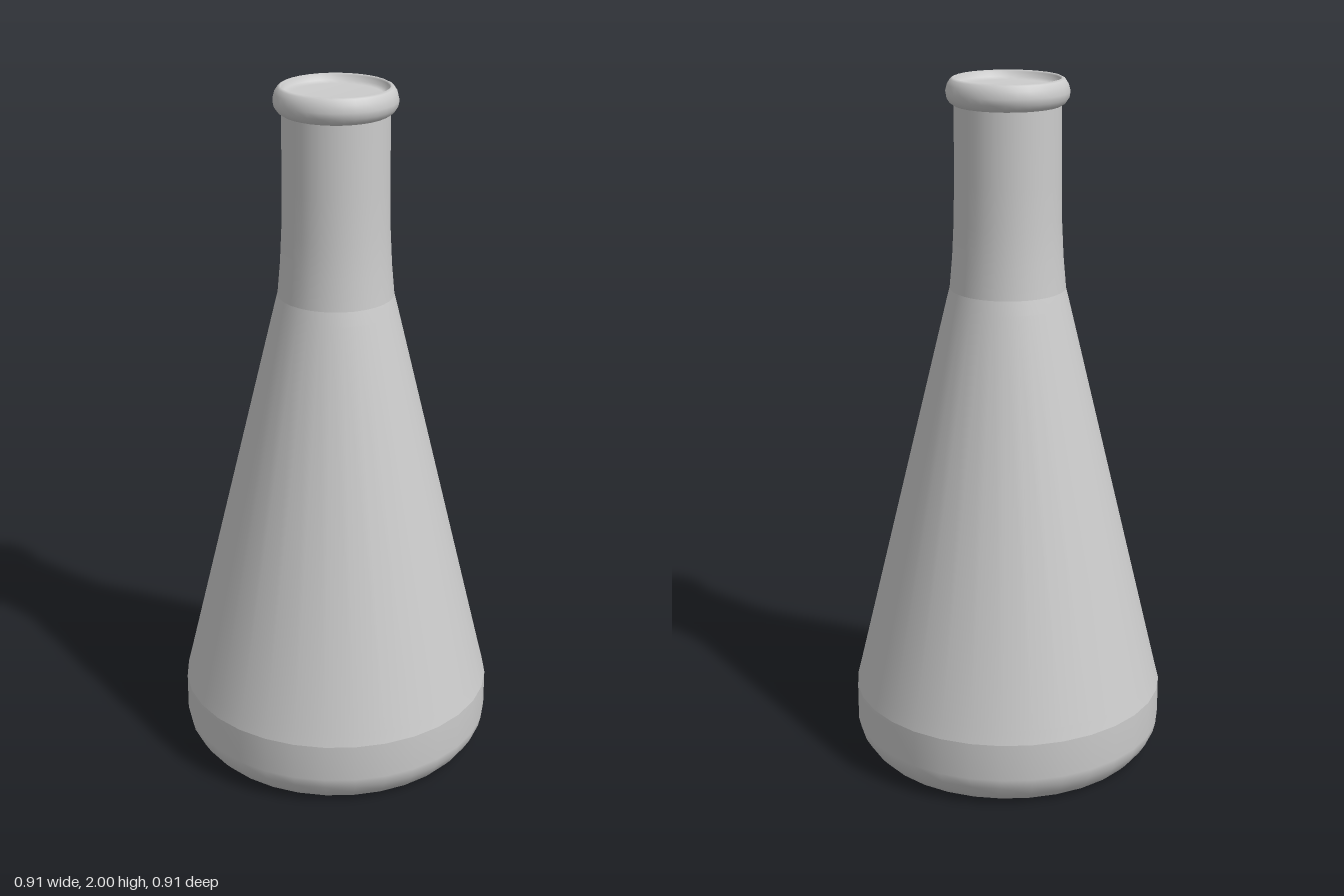
import * as THREE from 'three';

export function createModel() {
  const group = new THREE.Group();
  group.name = 'conicalFlask';
  const material = new THREE.MeshStandardMaterial({ color: 0xcccccc });
  const SIDES = 32;

  // Revolves a [radius, height] profile, listed so its faces point outward
  const turned = (name, profile) => {
    const points = profile.map(([r, y]) => new THREE.Vector2(r, y));
    const mesh = new THREE.Mesh(new THREE.LatheGeometry(points, SIDES), material);
    mesh.name = name;
    group.add(mesh);
  };

  // Base, rounded foot and short upright wall
  turned('base', [
    [0, 0], [0.39, 0], [0.41, 0.008], [0.43, 0.03], [0.448, 0.06], [0.455, 0.09], [0.455, 0.2],
  ]);

  // Conical body
  turned('body', [[0.455, 0.2], [0.445, 0.24], [0.175, 1.37], [0.165, 1.41]]);

  // Slightly flared neck
  turned('neck', [[0.165, 1.41], [0.157, 1.5], [0.152, 1.6], [0.15, 1.72], [0.149, 1.93]]);

  // Rolled lip with a shallow recessed mouth
  turned('lip', [
    [0.149, 1.925], [0.16, 1.932], [0.169, 1.945], [0.172, 1.962], [0.167, 1.982],
    [0.158, 1.996], [0.15, 2], [0.146, 1.995], [0.142, 1.982], [0.13, 1.975], [0, 1.975],
  ]);

  return group;
}
